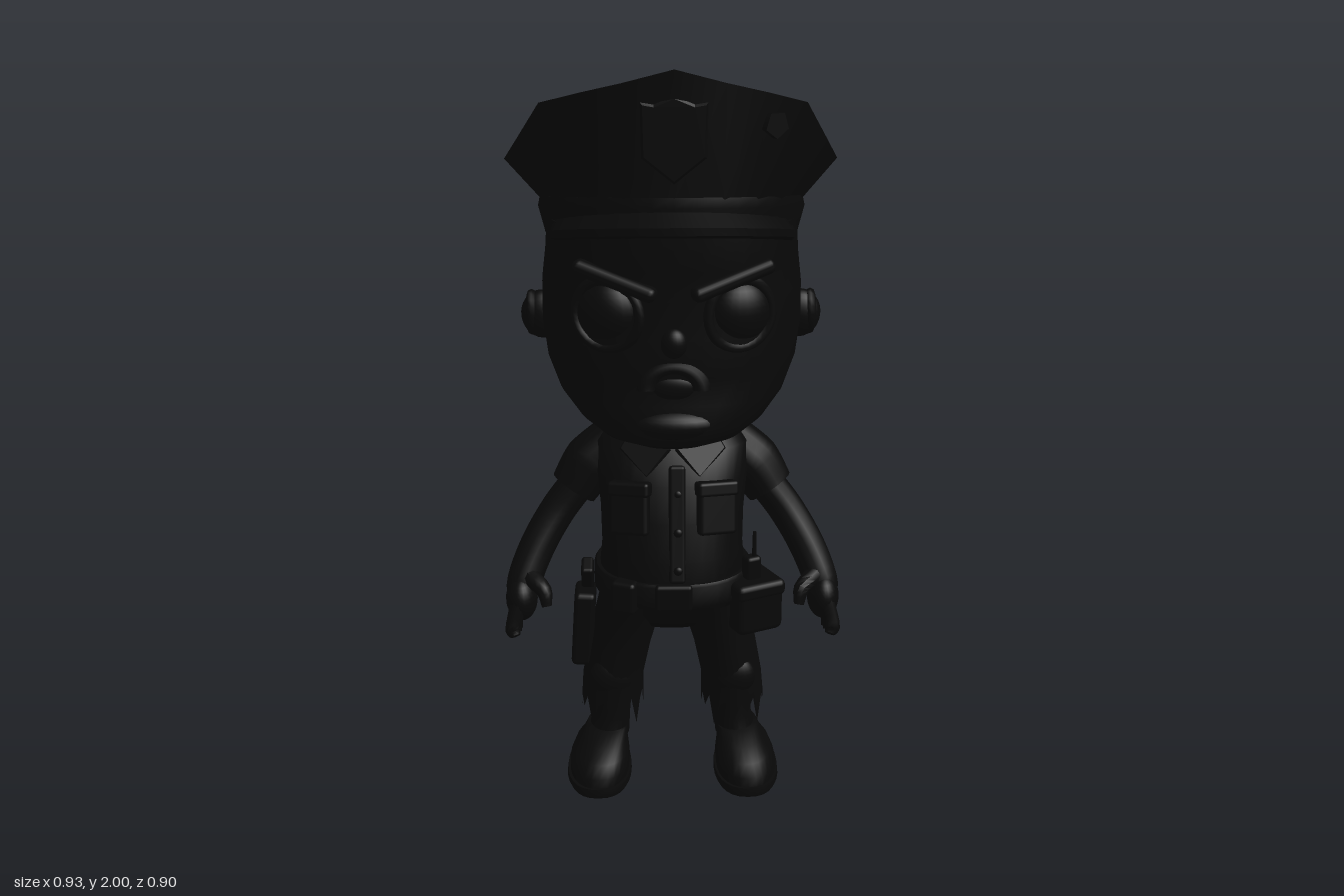
import * as THREE from 'three';
import { toCreasedNormals, mergeVertices } from 'three/addons/utils/BufferGeometryUtils.js';
import { RoundedBoxGeometry } from 'three/addons/geometries/RoundedBoxGeometry.js';

const material = new THREE.MeshStandardMaterial({ color: 0x080808, side: THREE.DoubleSide });
const V = (x, y, z) => new THREE.Vector3(x, y, z);

// Skin between closed rings of points, listed bottom to top
function loft(rings, { caps = true, crease = 0.7 } = {}) {
  const n = rings[0].length, pos = [], idx = [];
  rings.forEach(r => r.forEach(p => pos.push(p.x, p.y, p.z)));
  for (let i = 0; i < rings.length - 1; i++)
    for (let j = 0; j < n; j++) {
      const k = (j + 1) % n, a = i * n + j, b = i * n + k;
      idx.push(a, b, b + n, a, b + n, a + n);
    }
  if (caps) [0, rings.length - 1].forEach(i => {
    const c = rings[i].reduce((s, p) => s.add(p), V(0, 0, 0)).divideScalar(n);
    const ci = pos.length / 3;
    pos.push(c.x, c.y, c.z);
    for (let j = 0; j < n; j++) {
      const a = i * n + j, b = i * n + (j + 1) % n;
      if (i) idx.push(ci, a, b); else idx.push(ci, b, a);
    }
  });
  const g = new THREE.BufferGeometry();
  g.setAttribute('position', new THREE.Float32BufferAttribute(pos, 3));
  g.setIndex(idx);
  return toCreasedNormals(g, crease);
}

// Horizontal superellipse ring; slope tilts it along z
function ring(y, cx, cz, rx, rz, { n = 28, e = 2, slope = 0 } = {}) {
  const pw = v => Math.sign(v) * Math.abs(v) ** (2 / e);
  return Array.from({ length: n }, (_, j) => {
    const a = j / n * Math.PI * 2, z = cz + rz * pw(Math.cos(a));
    return V(cx + rx * pw(Math.sin(a)), y + slope * z, z);
  });
}
const body = (rows, opt) => loft(rows.map(r => ring(...r, opt)), opt);

// Round limb through [x, y, z, radius] points, listed bottom to top
function limb(points, steps = 12, n = 14) {
  const curve = new THREE.CatmullRomCurve3(points.map(p => V(p[0], p[1], p[2])));
  const rings = [];
  for (let i = 0; i <= steps; i++) {
    const t = i / steps, s = t * (points.length - 1), k = Math.min(Math.floor(s), points.length - 2);
    const r = THREE.MathUtils.lerp(points[k][3], points[k + 1][3], s - k);
    const c = curve.getPoint(t), d = curve.getTangent(t);
    const f = V(0, 0, 1).addScaledVector(d, -d.z).normalize(), x = d.clone().cross(f);
    rings.push(Array.from({ length: n }, (_, j) => {
      const a = j / n * Math.PI * 2;
      return c.clone().addScaledVector(x, r * Math.sin(a)).addScaledVector(f, r * Math.cos(a));
    }));
  }
  return loft(rings);
}

export function createModel() {
  const model = new THREE.Group();
  model.name = 'officer';
  const add = (name, geo, pos = [0, 0, 0], rot = [0, 0, 0], scale = [1, 1, 1]) => {
    const m = new THREE.Mesh(geo, material);
    m.name = name;
    m.position.set(...pos); m.rotation.set(...rot); m.scale.set(...scale);
    model.add(m);
    return m;
  };
  const box = (w, h, d, r = 0.01) => new RoundedBoxGeometry(w, h, d, 2, r);
  const ball = new THREE.SphereGeometry(1, 24, 16);

  // Head
  add('head', body([
    [1.02, 0, 0.19, 0.12, 0.16], [1.04, 0, 0.19, 0.19, 0.19], [1.08, 0, 0.15, 0.25, 0.245],
    [1.14, 0, 0.1, 0.305, 0.275], [1.22, 0, 0.067, 0.338, 0.315], [1.32, 0, 0.055, 0.352, 0.335],
    [1.42, 0, 0.04, 0.352, 0.335], [1.5, 0, 0.045, 0.342, 0.345], [1.6, 0, 0.045, 0.335, 0.345],
  ], { n: 40, e: 2.4, crease: 1 }));
  add('nose', ball, [0, 1.315, 0.38], [0, 0, 0], [0.035, 0.04, 0.03]);
  add('frown', new THREE.TorusGeometry(0.06, 0.02, 10, 20, Math.PI), [0, 1.19, 0.378], [-0.1, 0, 0], [1.2, 1, 1]);
  add('mouth', ball, [0, 1.195, 0.368], [0, 0, 0], [0.06, 0.035, 0.02]);
  add('chin', ball, [0, 1.09, 0.345], [0, 0, 0], [0.12, 0.045, 0.06]);

  // Cap: flaring crown with peaked front and sloping lid, rim given as [x, z, y]
  const half = [[0, 0.4, 2], [0.13, 0.375, 1.965], [0.23, 0.34, 1.94], [0.335, 0.29, 1.91],
    [0.405, 0.125, 1.8], [0.45, 0, 1.73], [0.425, -0.15, 1.72], [0.37, -0.265, 1.715],
    [0.26, -0.365, 1.708], [0.13, -0.42, 1.702], [0, -0.45, 1.7]];
  const rim = [...half, ...half.slice(1, -1).reverse().map(([x, z, y]) => [-x, z, y])].map(([x, z, y]) => V(x, y, z));
  const foot = rim.map(p => {
    const a = Math.atan2(p.x, p.z - 0.03), z = 0.03 + 0.36 * Math.cos(a);
    return V(0.352 * Math.sin(a), 1.62 + 0.146 * z, z);
  });
  const hub = rim.map(p => V(p.x * 0.05, 1.86 + p.z * 0.02, p.z * 0.05));
  add('capCrown', loft([foot, rim, hub], { crease: 0.5 }));
  add('capBand', loft([
    ring(1.535, 0, 0.03, 0.342, 0.35, { n: 40, slope: 0.13 }),
    ring(1.605, 0, 0.03, 0.36, 0.365, { n: 40, slope: 0.146 }),
    ring(1.632, 0, 0.03, 0.354, 0.36, { n: 40, slope: 0.146 }),
  ]));
  const visor = [];
  for (let i = 0; i <= 20; i++) {
    const a = -1.08 + 2.16 * i / 20, drop = 0.1 * (1 - Math.cos(a));
    const at = (e, y) => V((0.345 + e) * Math.sin(a), y - drop, 0.03 + (0.35 + e) * Math.cos(a));
    const e = 0.07 * Math.sqrt(Math.max(0.02, Math.cos(a * 1.4)));
    visor.push([at(0, 1.66), at(e, 1.625), at(e, 1.605), at(0, 1.585)]);
  }
  add('capVisor', loft(visor));
  const shield = new THREE.Shape([[0, 0.1], [0.05, 0.08], [0.078, 0.085], [0.075, -0.04], [0, -0.1],
    [-0.075, -0.04], [-0.078, 0.085], [-0.05, 0.08]].map(p => new THREE.Vector2(...p)));
  add('capBadge', new THREE.ExtrudeGeometry(shield, { depth: 0.02, bevelSize: 0.006, bevelThickness: 0.006, bevelSegments: 1 }),
    [0, 1.83, 0.372]);
  add('capPin', new THREE.CylinderGeometry(0.035, 0.035, 0.03, 5), [0.25, 1.86, 0.325], [Math.PI / 2, 0, -0.5]);

  // Torso and belt
  add('torso', body([
    [0.47, 0, 0.17, 0.12, 0.11], [0.53, 0, 0.175, 0.19, 0.165], [0.6, 0, 0.185, 0.205, 0.188],
    [0.7, 0, 0.188, 0.195, 0.18], [0.8, 0, 0.17, 0.198, 0.165], [0.9, 0, 0.152, 0.208, 0.162],
    [0.98, 0, 0.122, 0.21, 0.14], [1.02, 0, 0.11, 0.18, 0.12], [1.05, 0, 0.12, 0.12, 0.1],
  ], { n: 36, e: 2.3, crease: 1 }));
  add('belt', body([[0.57, 0, 0.183, 0.212, 0.196], [0.578, 0, 0.183, 0.218, 0.2],
    [0.634, 0, 0.183, 0.218, 0.2], [0.642, 0, 0.183, 0.212, 0.196]], { n: 36, e: 2.3 }));
  add('buckle', box(0.1, 0.075, 0.025), [0, 0.606, 0.38]);
  [0.68, 0.78, 0.88].forEach((y, i) =>
    add('button', ball, [0.012, y, [0.372, 0.348, 0.322][i]], [0, 0, 0], [0.013, 0.013, 0.009]));
  add('shirtPlacket', box(0.045, 0.32, 0.02), [0.01, 0.8, 0.337], [-0.23, 0, 0]);

  // Belt gear: pouches, radio and holster
  add('pouch', box(0.14, 0.14, 0.15, 0.02), [0.21, 0.55, 0.275], [0, 0.45, 0]);
  add('pouchFlap', box(0.148, 0.045, 0.158, 0.015), [0.21, 0.605, 0.275], [0, 0.45, 0]);
  add('radio', box(0.045, 0.1, 0.04), [0.215, 0.64, 0.29], [0, 0.45, 0]);
  add('antenna', new THREE.CylinderGeometry(0.005, 0.007, 0.1, 8), [0.222, 0.71, 0.29]);
  add('smallPouch', box(0.07, 0.09, 0.05, 0.012), [-0.13, 0.6, 0.35], [0, -0.4, 0]);
  add('holster', box(0.06, 0.22, 0.11, 0.015), [-0.25, 0.445, 0.19], [0, 0, -0.06]);
  add('pistolGrip', box(0.035, 0.09, 0.06), [-0.238, 0.585, 0.17], [0.4, 0, 0]);

  // Paired parts
  for (const s of [1, -1]) {
    const mx = pts => (s > 0 ? pts : pts.map(p => [-p[0], ...p.slice(1)]));
    const side = s > 0 ? 'left' : 'right';

    // Face
    add(side + 'Eye', ball, [s * 0.17, 1.385, 0.325], [0, s * 0.35, 0], [0.085, 0.085, 0.055]);
    add(side + 'EyeRim', new THREE.TorusGeometry(0.09, 0.014, 8, 28), [s * 0.17, 1.385, 0.352], [0, s * 0.4, 0]);
    add(side + 'Brow', box(0.23, 0.04, 0.05, 0.018), [s * 0.15, 1.475, 0.362], [0, s * 0.28, s * 0.32]);
    add(side + 'Ear', ball, [s * 0.355, 1.305, 0.02], [0, 0, -s * 0.1], [0.06, 0.068, 0.042]);
    add(side + 'EarRim', new THREE.TorusGeometry(0.042, 0.014, 8, 18), [s * 0.385, 1.31, 0.02],
      [0, Math.PI / 2, 0], [0.75, 1.15, 1]);

    // Shirt collar and chest pockets
    const wing = new THREE.Shape([[0, 0], [0.1, 0.06], [0.13, 0.01], [0.06, -0.07]].map(([x, y]) => new THREE.Vector2(s * x, y)));
    add(side + 'Collar', new THREE.ExtrudeGeometry(wing, { depth: 0.012, bevelSize: 0.004, bevelThickness: 0.004, bevelSegments: 1 }),
      [s * 0.01, 0.985, 0.26], [-0.5, s * 0.25, 0]);
    add(side + 'Pocket', box(0.11, 0.13, 0.045, 0.012), [s * 0.115, 0.83, 0.307], [-0.18, s * 0.35, 0]);
    add(side + 'PocketFlap', box(0.118, 0.04, 0.053, 0.01), [s * 0.115, 0.89, 0.297], [-0.18, s * 0.35, 0]);

    // Arm and hand
    add(side + 'Sleeve', limb(mx([[0.275, 0.83, 0.125, 0.068], [0.225, 0.9, 0.11, 0.08], [0.15, 0.965, 0.095, 0.075]])));
    add(side + 'Arm', limb(mx([[0.42, 0.52, 0.24, 0.036], [0.415, 0.58, 0.22, 0.049], [0.38, 0.67, 0.18, 0.05],
      [0.32, 0.77, 0.14, 0.05], [0.25, 0.86, 0.12, 0.05]]), 18));
    add(side + 'Palm', ball, [s * 0.42, 0.545, 0.235], [0.2, 0, 0], [0.044, 0.065, 0.06]);
    [0.205, 0.245, 0.285].forEach((z, i) => add(side + 'Finger', limb(mx([
      [0.435, 0.44 + i * 0.008, z + 0.01, 0.014], [0.442, 0.47, z, 0.023], [0.425, 0.55, z - 0.015, 0.023]]), 8, 10)));
    add(side + 'Thumb', limb(mx([[0.347, 0.545, 0.295, 0.014], [0.355, 0.585, 0.28, 0.022], [0.4, 0.61, 0.23, 0.028]]), 8, 10));

    // Trouser leg with a torn hem
    const leg = [[0.22, 0.172, 0.195, 0.088, 0.108], [0.3, 0.168, 0.195, 0.086, 0.112], [0.4, 0.148, 0.187, 0.088, 0.125],
      [0.48, 0.127, 0.177, 0.092, 0.145], [0.56, 0.108, 0.18, 0.092, 0.17]].map(r => ring(r[0], s * r[1], ...r.slice(2)));
    leg[0].forEach((p, j) => { p.y += [-0.03, 0.02, -0.01, 0.03, -0.055, 0.015, 0.03][j % 7]; });
    add(side + 'TrouserLeg', loft(leg, { caps: false }));
    add(side + 'Knee', ball, [s * 0.172, 0.32, 0.275], [0, 0, 0], [0.06, 0.06, 0.035]);

    // Shin and shoe
    add(side + 'Shin', body([[0.1, s * 0.185, 0.18, 0.06, 0.075], [0.16, s * 0.175, 0.175, 0.053, 0.066],
      [0.24, s * 0.17, 0.18, 0.055, 0.07], [0.34, s * 0.165, 0.19, 0.06, 0.08]]));
    add(side + 'Sole', body([[0, s * 0.21, 0.243, 0.086, 0.15], [0.012, s * 0.21, 0.243, 0.092, 0.154],
      [0.028, s * 0.21, 0.243, 0.09, 0.152]], { e: 2.4 }));
    add(side + 'Shoe', body([[0.02, s * 0.21, 0.242, 0.084, 0.146], [0.055, s * 0.208, 0.242, 0.085, 0.147],
      [0.085, s * 0.203, 0.23, 0.076, 0.132], [0.107, s * 0.195, 0.21, 0.064, 0.1],
      [0.13, s * 0.187, 0.187, 0.058, 0.075]], { e: 2.3, crease: 1 }));
  }
  return model;
}
